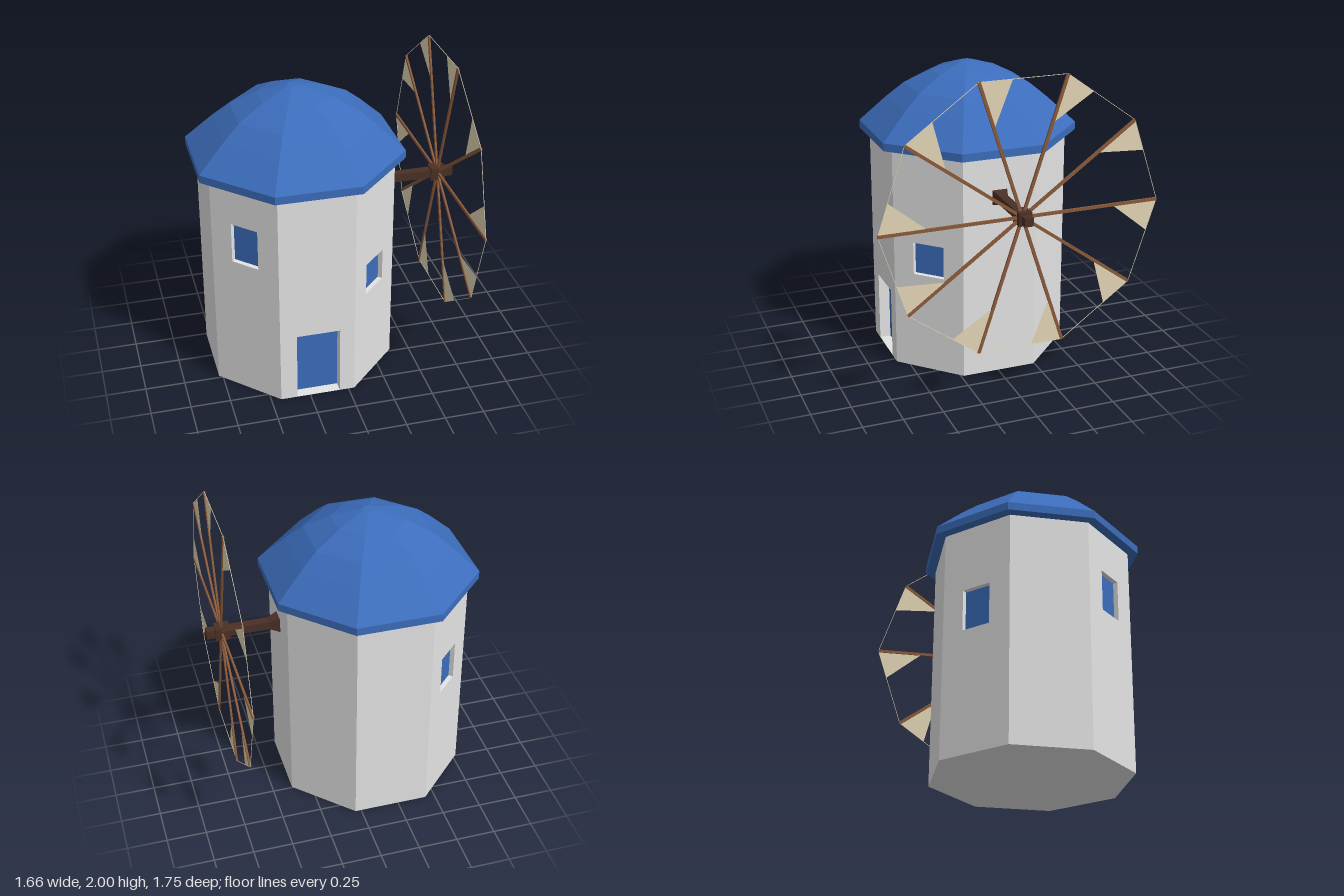
import * as THREE from 'three';

const APOTHEM = 0.574, WALL_H = 1.44, WALL_D = 0.075;
const HALF = APOTHEM * Math.tan(Math.PI / 8);
const CORNER = 1 / Math.cos(Math.PI / 8); // apothem to corner radius

function material(name, color, side = THREE.FrontSide) {
  const m = new THREE.MeshStandardMaterial({ color, side });
  m.name = name;
  return m;
}

function add(parent, name, geometry, mat, x = 0, y = 0, z = 0) {
  const mesh = new THREE.Mesh(geometry, mat);
  mesh.name = name;
  mesh.position.set(x, y, z);
  parent.add(mesh);
  return mesh;
}

function flat(geometry) {
  const g = geometry.toNonIndexed();
  g.computeVertexNormals();
  return g;
}

// Square bar along x, optionally tapered
function squareBar(halfStart, halfEnd, length) {
  const g = new THREE.CylinderGeometry(halfEnd * Math.SQRT2, halfStart * Math.SQRT2, length, 4);
  return flat(g.rotateY(Math.PI / 4).rotateZ(-Math.PI / 2));
}

export function createModel() {
  const wall = material('whitewash', 0xe4e4e4, THREE.DoubleSide);
  const blue = material('bluePaint', 0x3c6dbc);
  const darkWood = material('darkWood', 0x4a3026);
  const wood = material('spokeWood', 0x8a5a3a);
  const cloth = material('sailCloth', 0xe4d7b6, THREE.DoubleSide);

  const model = new THREE.Group();
  model.name = 'windmill';
  const tower = new THREE.Group();
  tower.name = 'tower';
  tower.position.set(-0.2, 0, -0.006);
  model.add(tower);

  // Openings by wall number, counted from the front towards +x
  const openings = {
    0: { name: 'door', x: 0.005, w: 0.275, y0: 0, y1: 0.46, depth: 0.07 },
    1: { name: 'frontLeftWindow', x: 0, w: 0.207, y0: 0.64, y1: 0.85, depth: 0.03 },
    5: { name: 'backWindow', x: 0, w: 0.19, y0: 0.77, y1: 1.03, depth: 0.03 },
    7: { name: 'frontRightWindow', x: 0, w: 0.187, y0: 0.92, y1: 1.18, depth: 0.03 },
  };

  // Eight wall panels with recessed door and windows
  for (let i = 0; i < 8; i++) {
    const side = new THREE.Group();
    side.name = 'wallSide' + i;
    side.rotation.y = i * Math.PI / 4;
    tower.add(side);

    const shape = new THREE.Shape();
    const o = openings[i];
    shape.moveTo(-HALF, 0);
    if (o) {
      const l = o.x - o.w / 2, r = o.x + o.w / 2;
      if (o.y0 === 0) {
        shape.lineTo(l, 0).lineTo(l, o.y1).lineTo(r, o.y1).lineTo(r, 0);
      } else {
        const hole = new THREE.Path();
        hole.moveTo(l, o.y0).lineTo(l, o.y1).lineTo(r, o.y1).lineTo(r, o.y0).closePath();
        shape.holes.push(hole);
      }
      add(side, o.name, new THREE.PlaneGeometry(o.w, o.y1 - o.y0), blue,
        o.x, (o.y0 + o.y1) / 2, APOTHEM - o.depth);
    }
    shape.lineTo(HALF, 0).lineTo(HALF, WALL_H).lineTo(-HALF, WALL_H).closePath();
    const panel = new THREE.ExtrudeGeometry(shape, { depth: WALL_D, bevelEnabled: false });
    add(side, 'wall', panel, wall, 0, 0, APOTHEM - WALL_D);
  }
  add(tower, 'floor', new THREE.CircleGeometry(APOTHEM * CORNER, 8, Math.PI / 8).rotateX(Math.PI / 2), wall);

  // Faceted domed roof
  const profile = [[0, 1.44], [0.633, 1.44], [0.633, 1.49], [0.47, 1.65], [0.367, 1.74],
    [0.21, 1.825], [0.04, 1.885], [0, 1.885]].map(([a, y]) => new THREE.Vector2(a * CORNER, y));
  add(tower, 'roof', flat(new THREE.LatheGeometry(profile, 8, Math.PI / 8)), blue);

  // Axle with flared root and hub block
  const axle = new THREE.Group();
  axle.name = 'axle';
  axle.position.set(0, 1.172, -0.004);
  model.add(axle);
  add(axle, 'axleRoot', squareBar(0.05, 0.028, 0.07), darkWood, 0.4);
  add(axle, 'shaft', squareBar(0.027, 0.027, 0.47), darkWood, 0.595);
  add(axle, 'hub', squareBar(0.041, 0.041, 0.095), darkWood, 0.73);

  // Ten-spoked sail wheel facing +x
  const wheel = new THREE.Group();
  wheel.name = 'sailWheel';
  wheel.position.set(0.735, 1.172, 0);
  wheel.rotation.y = Math.PI / 2;
  model.add(wheel);
  const R = 0.872, COUNT = 10, step = 2 * Math.PI / COUNT;
  const tip = new THREE.Vector2(R, 0);
  const next = new THREE.Vector2(R * Math.cos(step), -R * Math.sin(step));
  const rim = tip.clone().lerp(next, 0.375);
  const sailShape = new THREE.Shape([tip, new THREE.Vector2(R * 0.66, 0), rim]);
  const ropeLength = tip.distanceTo(next);

  for (let i = 0; i < COUNT; i++) {
    const arm = new THREE.Group();
    arm.name = 'arm' + i;
    arm.rotation.z = i * step;
    wheel.add(arm);
    add(arm, 'spoke', new THREE.BoxGeometry(R, 0.019, 0.012), wood, R / 2);
    add(arm, 'sail', new THREE.ShapeGeometry(sailShape), cloth);
    const rope = add(arm, 'rimRope', new THREE.BoxGeometry(ropeLength, 0.003, 0.003), cloth,
      (tip.x + next.x) / 2, next.y / 2);
    rope.rotation.z = Math.atan2(next.y, next.x - tip.x);
  }
  return model;
}
